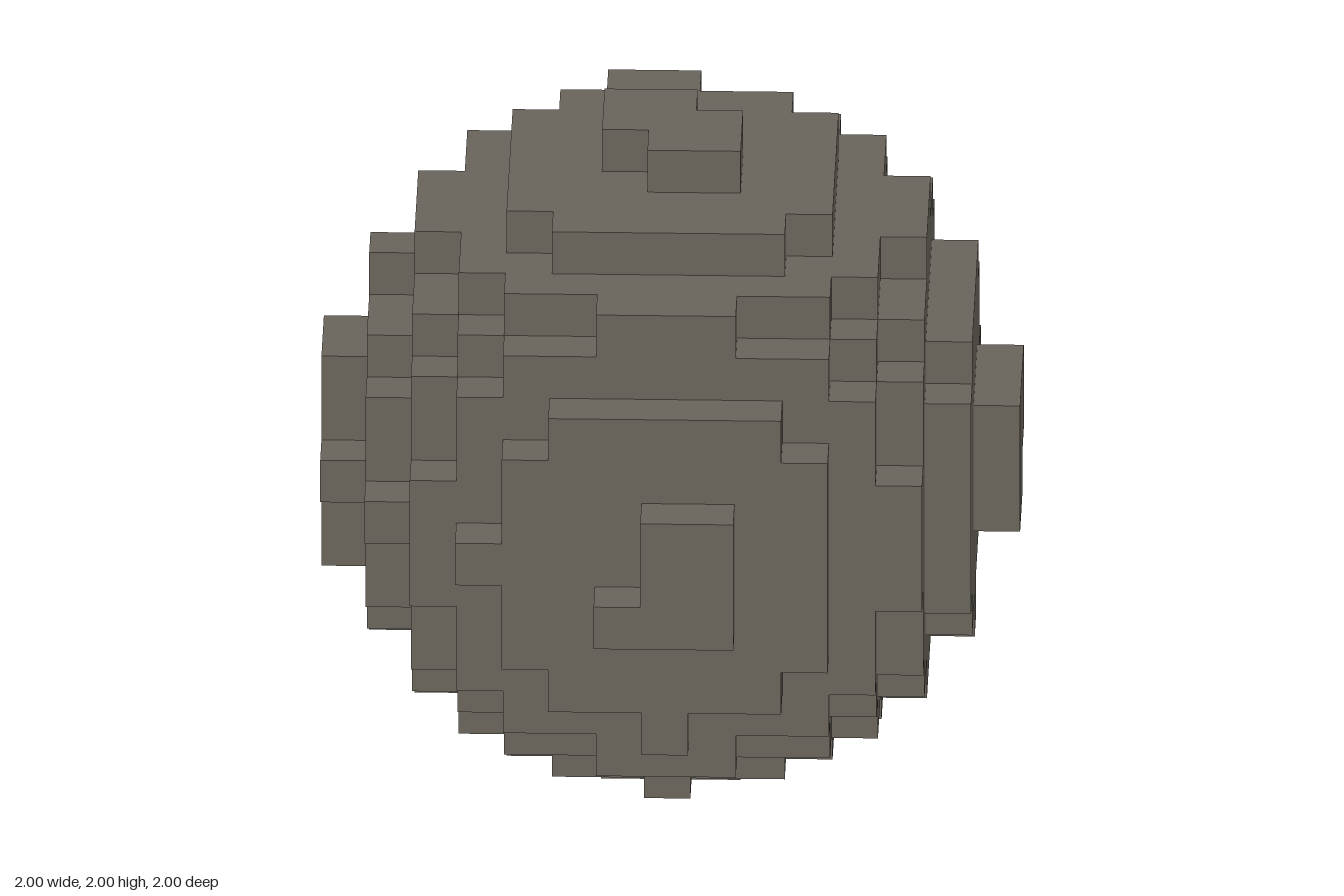
import * as THREE from 'three';

const HALF = 7;                 // cells run from -7 to 7 on each axis
const CELL = 2 / 15;

// Cells standing out beyond the regular ball
const BUMPS = [
  // front, back
  [-4, 0, 6], [0, -4, 6],
  [1, 2, -7], [2, 0, -7], [-2, 0, -7], [-2, 1, -7],
  [4, 0, -6], [-4, 0, -6], [0, 4, -6], [0, -4, -6],
  // left and right sides
  [6, 0, -4], [6, -4, 0],
  [-7, 0, -2], [-7, -1, -2], [-7, 2, 0], [-7, 2, 1], [-7, -2, 1], [-7, 0, 2],
  [-6, 4, 0], [-6, -4, 0], [-6, 0, -4], [-6, 0, 4],
  // top and bottom
  [0, 6, -4], [-1, 6, -4],
  [-1, -7, -2], [0, -7, -2], [1, -7, -2], [-2, -7, 0],
  [4, -6, 0], [-4, -6, 0], [0, -6, 4], [0, -6, -4],
];

// Cells chipped out of the regular ball
const CHIPS = [[-1, 1, 7], [-1, 0, 7], [7, -1, -1], [1, 7, -1], [-1, 7, 1]];

const key = (c) => c.join(',');

function buildCells() {
  const cells = new Map();
  for (let x = -HALF; x <= HALF; x++)
    for (let y = -HALF; y <= HALF; y++)
      for (let z = -HALF; z <= HALF; z++)
        if (x * x + y * y + z * z <= 51) cells.set(key([x, y, z]), [x, y, z]);
  BUMPS.forEach((c) => cells.set(key(c), c));
  CHIPS.forEach((c) => cells.delete(key(c)));
  return cells;
}

// Only the outward faces of the cells become geometry
function blockGeometry(cells) {
  const positions = [], normals = [], index = [];
  for (const cell of cells.values()) {
    for (let axis = 0; axis < 3; axis++) {
      for (const sign of [-1, 1]) {
        const next = [...cell];
        next[axis] += sign;
        if (cells.has(key(next))) continue;
        const u = (axis + 1) % 3, v = (axis + 2) % 3;
        const first = positions.length / 3;
        for (const [a, b] of [[-0.5, -0.5], [0.5, -0.5], [0.5, 0.5], [-0.5, 0.5]]) {
          const p = [...cell], n = [0, 0, 0];
          p[axis] += sign * 0.5;
          p[u] += a * sign;
          p[v] += b;
          n[axis] = sign;
          positions.push(...p.map((c) => c * CELL));
          normals.push(...n);
        }
        index.push(first, first + 1, first + 2, first, first + 2, first + 3);
      }
    }
  }
  const geometry = new THREE.BufferGeometry();
  geometry.setAttribute('position', new THREE.Float32BufferAttribute(positions, 3));
  geometry.setAttribute('normal', new THREE.Float32BufferAttribute(normals, 3));
  geometry.setIndex(index);
  return geometry;
}

export function createModel() {
  const group = new THREE.Group();
  group.name = 'blockBoulder';

  const stone = new THREE.MeshStandardMaterial({ color: 0x6b655c });
  stone.name = 'stone';

  const boulder = new THREE.Mesh(blockGeometry(buildCells()), stone);
  boulder.name = 'boulder';
  boulder.position.y = 1;
  group.add(boulder);
  return group;
}
